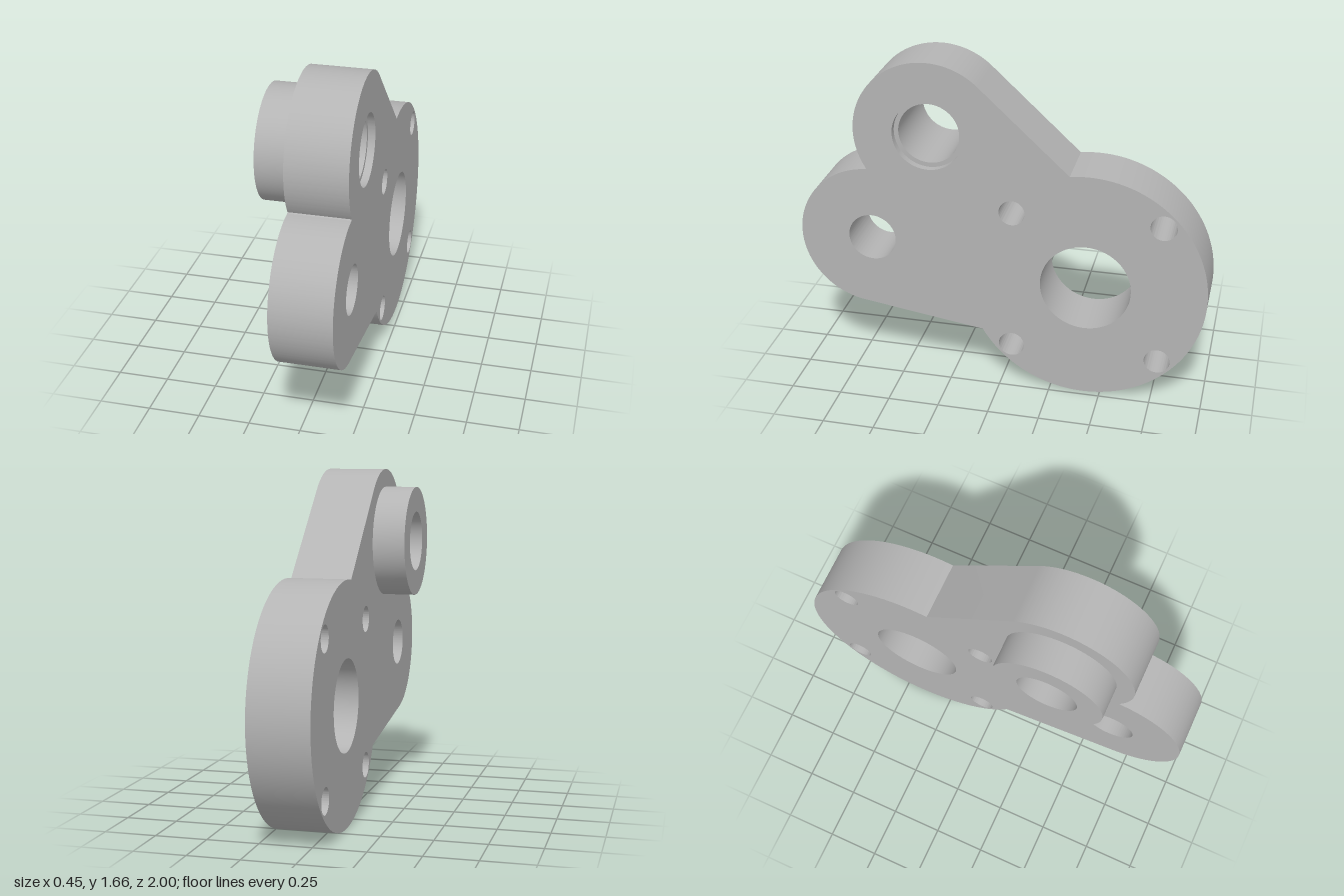
import * as THREE from 'three';
import { toCreasedNormals } from 'three/addons/utils/BufferGeometryUtils.js';

const X_BACK = -0.068, X_FRONT = 0.222, X_BOSS = -0.227;
const CREASE = 0.45;

// Lobe centres in the plate's own plane: u = -z, v = y
const MAIN = { u: 0.415, v: 0.583, r: 0.583 };
const UPPER = { u: -0.35, v: 1.297, r: 0.361 };
const LOWER = { u: -0.64, v: 0.738, r: 0.361 };

// Counter-clockwise arc round a lobe, between the directions of two points
function lobeArc(shape, c, from, to) {
  const angle = ([u, v]) => Math.atan2(v - c.v, u - c.u);
  shape.absarc(c.u, c.v, c.r, angle(from), angle(to), false);
}

function addHole(shape, u, v, r) {
  shape.holes.push(new THREE.Path().absarc(u, v, r, 0, Math.PI * 2, true));
}

export function createModel() {
  const group = new THREE.Group();
  const grey = new THREE.MeshStandardMaterial({ color: 0xb4b4b4 });
  grey.name = 'plain grey';

  // Three-lobed plate outline
  const outline = new THREE.Shape();
  const notch = [-0.659, 1.1];
  lobeArc(outline, MAIN, [-0.088, 0.292], [0.329, 1.163]);
  lobeArc(outline, UPPER, [-0.105, 1.562], notch);
  lobeArc(outline, LOWER, notch, [-0.69, 0.381]);
  outline.closePath();

  // Bores and the square pattern of bolt holes
  addHole(outline, MAIN.u, MAIN.v, 0.22);
  addHole(outline, LOWER.u, LOWER.v, 0.118);
  addHole(outline, UPPER.u, UPPER.v, 0.17);
  for (const su of [-1, 1])
    for (const sv of [-1, 1]) addHole(outline, MAIN.u + su * 0.36, MAIN.v + sv * 0.36, 0.063);

  const plateGeo = new THREE.ExtrudeGeometry(outline, {
    depth: X_FRONT - X_BACK, bevelEnabled: false, curveSegments: 64,
  });
  const plate = new THREE.Mesh(toCreasedNormals(plateGeo, CREASE), grey);
  plate.name = 'plate';
  plate.rotation.y = Math.PI / 2;
  plate.position.x = X_BACK;
  group.add(plate);

  // Boss with its bore, ending in a shallow counterbore in the plate
  const seat = X_FRONT - 0.035;
  const profile = [
    [0.17, seat], [0.148, seat], [0.148, X_BOSS], [0.272, X_BOSS], [0.272, X_BACK],
  ].map(([r, x]) => new THREE.Vector2(r, x));
  const bossGeo = new THREE.LatheGeometry(profile, 64);
  const boss = new THREE.Mesh(toCreasedNormals(bossGeo, CREASE), grey);
  boss.name = 'boss';
  boss.rotation.z = -Math.PI / 2;
  boss.position.set(0, UPPER.v, -UPPER.u);
  group.add(boss);

  return group;
}
